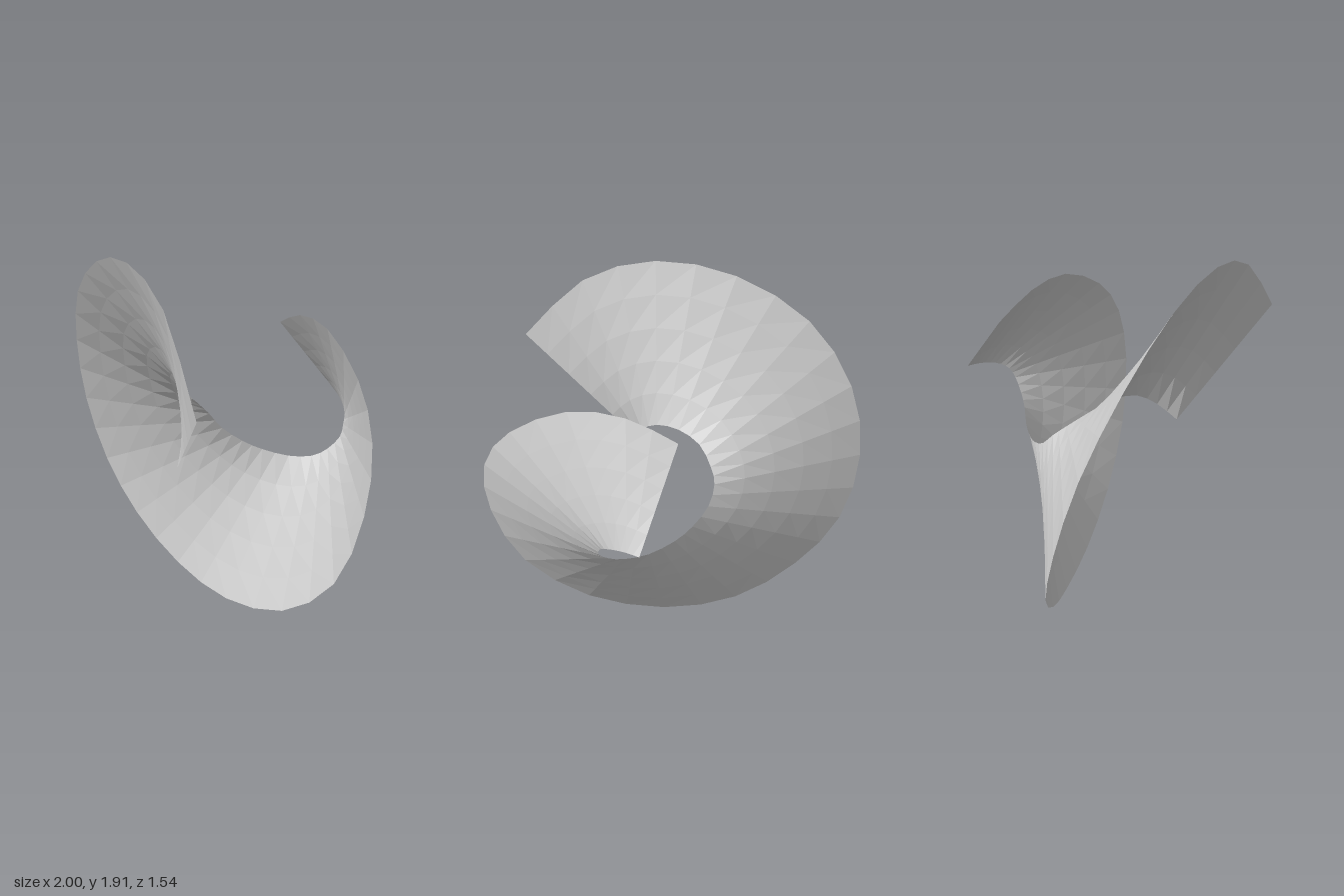
import * as THREE from 'three';

// Paired edge points, from the front end round to the back end
const outerEdge = [
  [0.88, 1.38, 0.77], [0.52, 1.76, 0.67], [0.12, 1.91, 0.59], [-0.3, 1.87, 0.5],
  [-0.68, 1.67, 0.4], [-0.92, 1.35, 0.29], [-1, 0.97, 0.2], [-0.92, 0.59, 0.12],
  [-0.69, 0.29, 0.06], [-0.35, 0.07, 0], [0.07, 0, -0.03], [0.51, 0.11, -0.05],
  [0.85, 0.4, -0.07], [0.99, 0.79, -0.1], [0.97, 1.13, -0.15], [0.8, 1.38, -0.22],
  [0.5, 1.56, -0.31], [0.22, 1.58, -0.39], [-0.02, 1.5, -0.47],
];
const innerEdge = [
  [0.25, 0.93, 0.42], [0.2, 1.04, 0.32], [0.11, 1.13, 0.23], [-0.01, 1.16, 0.14],
  [-0.12, 1.13, 0.05], [-0.18, 1.06, -0.05], [-0.2, 1, -0.12], [-0.17, 0.91, -0.19],
  [-0.09, 0.84, -0.27], [0, 0.8, -0.34], [0.13, 0.78, -0.42], [0.25, 0.8, -0.48],
  [0.32, 0.85, -0.53], [0.36, 0.92, -0.58], [0.35, 0.98, -0.61], [0.32, 1.02, -0.65],
  [0.27, 1.05, -0.69], [0.21, 1.07, -0.73], [0.15, 1.08, -0.77],
];

const curveThrough = (points) => new THREE.CatmullRomCurve3(
  points.map((p) => new THREE.Vector3(...p)), false, 'catmullrom', 0.5);

export function createModel() {
  const group = new THREE.Group();
  group.name = 'spiralSheet';
  const grey = new THREE.MeshStandardMaterial({
    color: 0xcccccc, flatShading: true, side: THREE.DoubleSide,
  });
  grey.name = 'light grey';

  // Conical spiral ribbon: a grid stretched between the two edge curves
  const outer = curveThrough(outerEdge);
  const inner = curveThrough(innerEdge);
  const geometry = new THREE.PlaneGeometry(1, 1, 36, 5);
  const { position, uv } = geometry.attributes;
  for (let i = 0; i < position.count; i++) {
    const t = uv.getX(i);
    const p = inner.getPoint(t).lerp(outer.getPoint(t), uv.getY(i));
    position.setXYZ(i, p.x, p.y, p.z);
  }
  geometry.computeVertexNormals();

  const ribbon = new THREE.Mesh(geometry, grey);
  ribbon.name = 'spiralRibbon';
  group.add(ribbon);
  return group;
}
